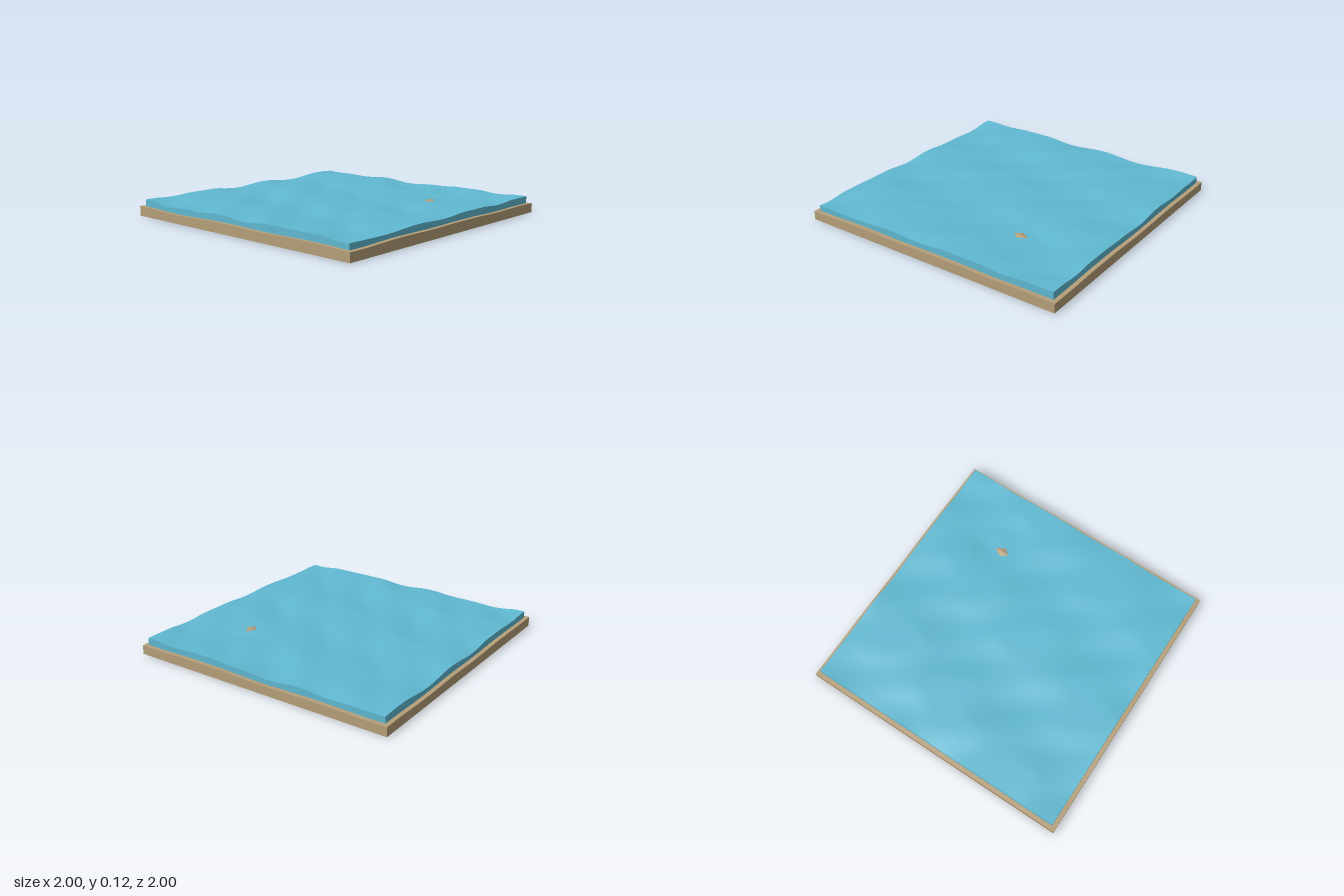
import * as THREE from 'three';

const PEAK = { x: 0.51, z: -0.41 };

// Slab standing between bottom and a wavy top; box faces keep crisp rims and a smooth top
function wavySlab(size, bottom, segments, heightAt) {
  const geo = new THREE.BoxGeometry(size, 1, size, segments, 1, segments);
  const p = geo.attributes.position;
  for (let i = 0; i < p.count; i++) {
    const top = p.getY(i) > 0;
    p.setY(i, top ? heightAt(p.getX(i), p.getZ(i)) : bottom);
  }
  geo.computeVertexNormals();
  return geo;
}

// Gentle ripples in the sand bed
function sandHeight(x, z) {
  const h = 0.067 + 0.004 * Math.sin(7.3 * x + 2.1 * z + 0.6) + 0.003 * Math.sin(9.1 * z - 3.4 * x);
  return Math.min(h, 0.071);
}

// Irregular ripples with flattened crests, calm around the sand peak
function waterHeight(x, z) {
  const wave = 0.008 * Math.sin(8.2 * x + 2.7 * z + 1.0)
    + 0.007 * Math.sin(9.4 * z - 3.1 * x + 0.4)
    + 0.005 * Math.sin(15.3 * x - 11.2 * z + 2.0);
  const h = Math.max(0.094, Math.min(0.112 + wave, 0.118));
  const d2 = (x - PEAK.x) ** 2 + (z - PEAK.z) ** 2;
  const calm = Math.exp(-d2 / 0.025);
  const dip = 0.012 * Math.exp(-((x - 0.47) ** 2 + (z + 0.54) ** 2) / 0.006);
  return h + (0.105 - h) * calm - dip;
}

export function createModel() {
  const group = new THREE.Group();
  const sand = new THREE.MeshStandardMaterial({ color: 0xb59f79 });
  sand.name = 'sand';
  const water = new THREE.MeshStandardMaterial({ color: 0x60b9d2 });
  water.name = 'water';

  const add = (name, geo, mat) => {
    const mesh = new THREE.Mesh(geo, mat);
    mesh.name = name;
    group.add(mesh);
    return mesh;
  };

  // Sand bed and the water lying on it
  add('sandBed', wavySlab(2, 0, 28, sandHeight), sand);
  add('waterSheet', wavySlab(1.94, 0.05, 40, waterHeight), water);

  // Four-sided sand tip breaking the surface
  const tip = new THREE.ConeGeometry(1, 0.056, 4, 1, true).toNonIndexed();
  tip.scale(0.2, 1, 0.26);
  tip.computeVertexNormals();
  add('sandPeak', tip, sand).position.set(PEAK.x, 0.06 + 0.028, PEAK.z);

  return group;
}
